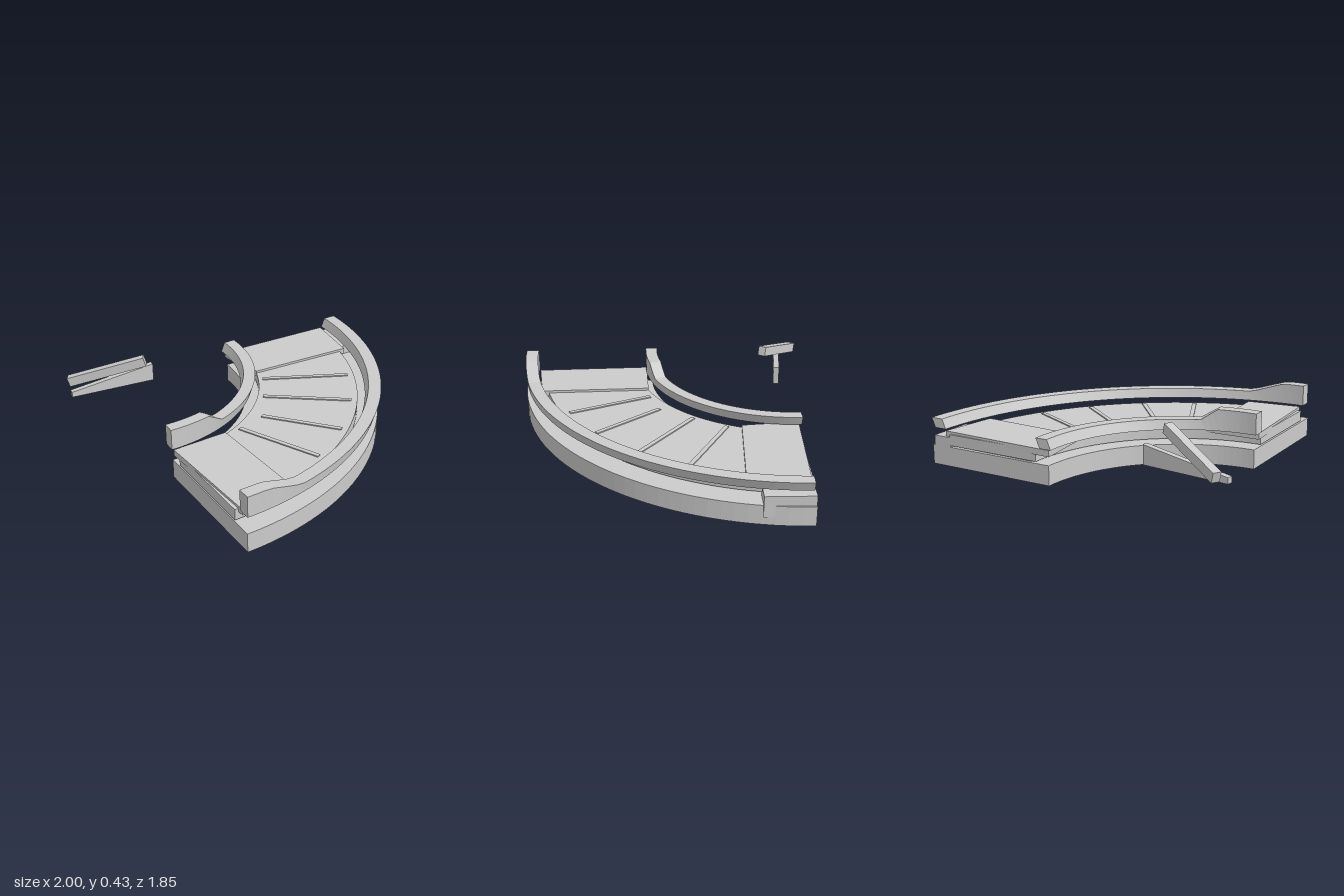
import * as THREE from 'three';

const CX = -0.74, CZ = -0.8; // centre of the bend
const DEG = Math.PI / 180;
const mat = new THREE.MeshStandardMaterial({ color: 0xcccccc, flatShading: true });

function add(group, name, geometry) {
  const mesh = new THREE.Mesh(geometry, mat);
  mesh.name = name;
  group.add(mesh);
  return mesh;
}

// Sweeps a four-cornered section [radius, y] around the bend; angles in degrees from +x to +z
function sweep(section, a0, a1, n = 36) {
  const pos = [];
  const rings = [];
  for (let i = 0; i <= n; i++) {
    const deg = a0 + (a1 - a0) * i / n, a = deg * DEG;
    rings.push(section(deg).map(([r, y]) => [CX + r * Math.cos(a), y, CZ + r * Math.sin(a)]));
  }
  const quad = (a, b, c, d) => pos.push(...a, ...b, ...c, ...a, ...c, ...d);
  for (let i = 0; i < n; i++) {
    for (let j = 0; j < 4; j++) {
      const k = (j + 1) % 4;
      quad(rings[i][j], rings[i][k], rings[i + 1][k], rings[i + 1][j]);
    }
  }
  const s = rings[0], e = rings[n];
  quad(s[0], s[3], s[2], s[1]);
  quad(e[0], e[1], e[2], e[3]);
  const g = new THREE.BufferGeometry();
  g.setAttribute('position', new THREE.Float32BufferAttribute(pos, 3));
  g.computeVertexNormals();
  return g;
}

const rect = (r0, r1, y0, y1) => () => [[r0, y0], [r1, y0], [r1, y1], [r0, y1]];

// Rail section that leans outward toward the +x end and rises to a block at the other
function railSection(r0, r1, rampStart, rampEnd) {
  return (deg) => {
    const lean = 0.025 * Math.max(0, Math.cos(deg * DEG));
    const t = THREE.MathUtils.clamp((deg - rampStart) / (rampEnd - rampStart), 0, 1);
    const top = 0.28 + 0.07 * t;
    return [[r0, 0.22], [r1, 0.22], [r1 + lean, top], [r0 + lean, top]];
  };
}

// Flat plate from corners [x, z] between two heights
function plate(corners, y0, y1) {
  const shape = new THREE.Shape(corners.map(([x, z]) => new THREE.Vector2(x, -z)));
  const g = new THREE.ExtrudeGeometry(shape, { depth: y1 - y0, bevelEnabled: false });
  return g.rotateX(-Math.PI / 2).translate(0, y0, 0);
}

export function createModel() {
  const model = new THREE.Group();
  model.name = 'curvedTrack';

  // Heavy base and the curved deck on it
  add(model, 'base', sweep(rect(0.87, 1.72, 0, 0.12), 0, 90));
  add(model, 'deckSupport', sweep(rect(1.0, 1.52, 0.115, 0.135), 1, 89));
  add(model, 'deck', sweep(rect(0.96, 1.59, 0.13, 0.198), 0, 90));

  // Side rails
  add(model, 'innerRail', sweep(railSection(0.84, 0.915, 68, 75), -1.4, 91.4, 40));
  add(model, 'outerRail', sweep(railSection(1.635, 1.715, 77.5, 85), 0.7, 89.8, 48));

  // End plates over the deck
  add(model, 'leftEndPlate', plate([[0.12, -0.81], [0.89, -0.785], [0.84, -0.425], [0.16, -0.46]], 0.175, 0.213));
  add(model, 'rightEndPlate', plate([[-0.75, 0.11], [-0.715, 0.83], [-0.37, 0.79], [-0.4, 0.1]], 0.175, 0.213));

  // Radial slats, from inner point to outer point
  const slats = [
    [0.15, -0.37, 0.65, -0.12], [0.03, -0.17, 0.475, 0.165],
    [-0.105, 0.035, 0.22, 0.42], [-0.295, 0.09, -0.065, 0.595],
  ];
  for (const [x0, z0, x1, z1] of slats) {
    const slat = add(model, 'slat', new THREE.BoxGeometry(Math.hypot(x1 - x0, z1 - z0), 0.085, 0.027));
    slat.position.set((x0 + x1) / 2, 0.1625, (z0 + z1) / 2);
    slat.rotation.y = -Math.atan2(z1 - z0, x1 - x0);
  }

  // Housing at the outer corner
  add(model, 'housing', new THREE.BoxGeometry(0.12, 0.13, 0.29)).position.set(0.905, 0.115, -0.655);

  // Two loose bars: a wedge and a tilted beam
  const wedge = new THREE.BoxGeometry(0.54, 0.1, 0.036);
  const p = wedge.attributes.position;
  for (let i = 0; i < p.count; i++) {
    const right = p.getX(i) > 0;
    p.setY(i, p.getY(i) < 0 ? 0.21 : right ? 0.325 : 0.245);
  }
  wedge.computeVertexNormals();
  const wedgeBar = add(model, 'wedgeBar', wedge);
  wedgeBar.position.set(-0.73, 0, -0.77);
  wedgeBar.rotation.y = -0.115;

  const from = new THREE.Vector3(-0.97, 0.265, -0.9), to = new THREE.Vector3(-0.55, 0.405, -0.65);
  const beam = add(model, 'tiltedBeam', new THREE.BoxGeometry(0.05, 0.06, from.distanceTo(to)));
  beam.position.copy(from).add(to).multiplyScalar(0.5);
  beam.lookAt(to);

  return model;
}
